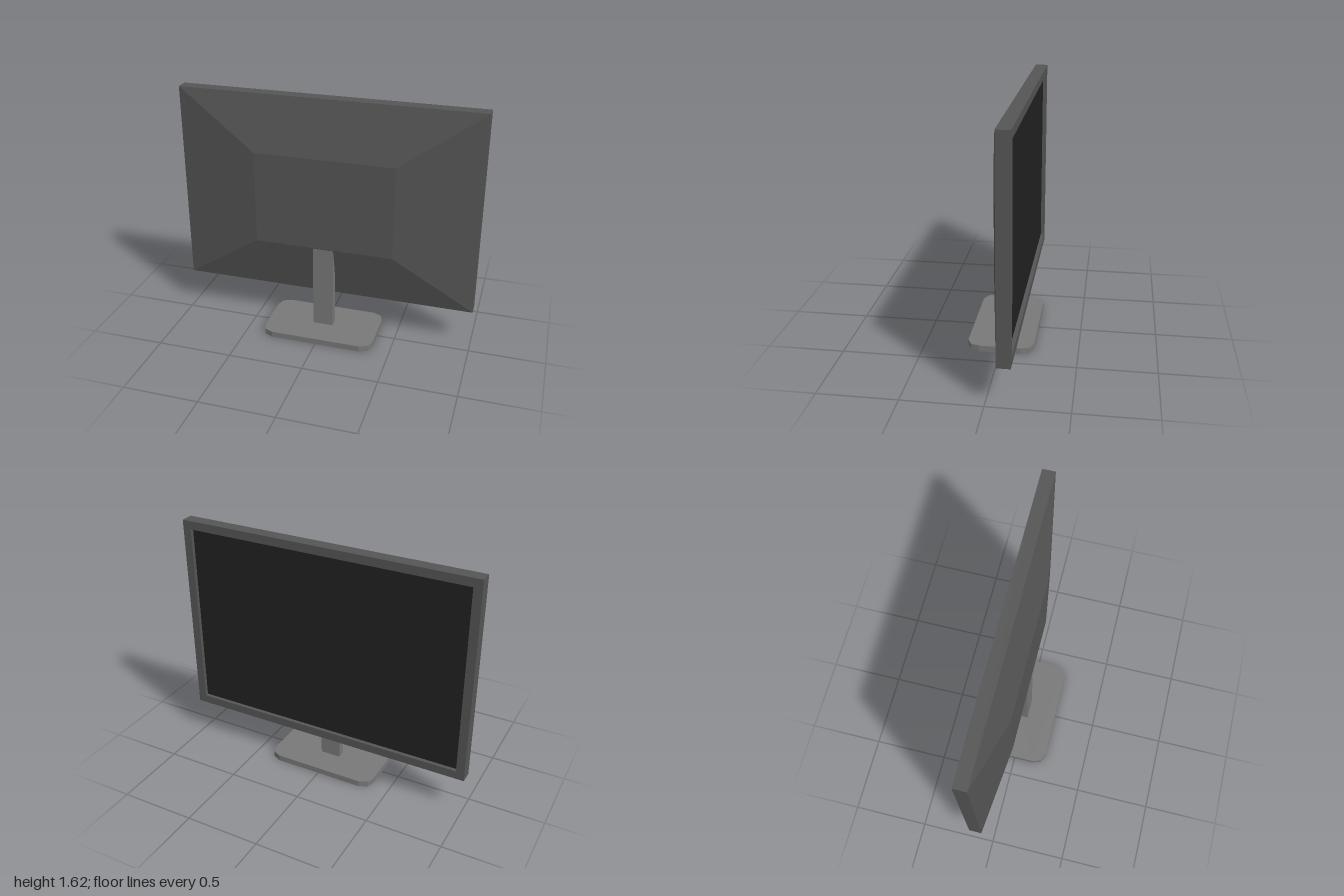
import * as THREE from 'three';

const flat = (name, color) => {
  const m = new THREE.MeshStandardMaterial({ color });
  m.name = name;
  return m;
};

// Corners of an upright rectangle, counter-clockwise seen from +z
const ring = (hw, y0, y1, z) => [[-hw, y0, z], [hw, y0, z], [hw, y1, z], [-hw, y1, z]];

// Skin a stack of rectangles with flat faces and close the last one
function skinRings(rings) {
  const pos = [];
  const quad = (a, b, c, d) => pos.push(...a, ...b, ...c, ...a, ...c, ...d);
  for (let r = 0; r < rings.length - 1; r++) {
    for (let i = 0; i < 4; i++) {
      const j = (i + 1) % 4;
      quad(rings[r][i], rings[r][j], rings[r + 1][j], rings[r + 1][i]);
    }
  }
  quad(...rings[rings.length - 1]);
  const geo = new THREE.BufferGeometry();
  geo.setAttribute('position', new THREE.Float32BufferAttribute(pos, 3));
  geo.computeVertexNormals();
  return geo;
}

export function createModel() {
  const model = new THREE.Group();
  model.name = 'monitor';
  const casingGrey = flat('casing grey', 0x555555);
  const standGrey = flat('stand grey', 0x787878);
  const screenBlack = flat('screen black', 0x222222);

  const add = (name, geo, mat, x = 0, y = 0, z = 0) => {
    const mesh = new THREE.Mesh(geo, mat);
    mesh.name = name;
    mesh.position.set(x, y, z);
    model.add(mesh);
    return mesh;
  };

  // Casing: screen recess, bezel, straight rim, then the tapered rear shell
  const bottom = 0.255, top = 1.62, bezel = 0.056, screenZ = -0.13;
  add('casing', skinRings([
    ring(1 - bezel, bottom + bezel, top - bezel, screenZ),
    ring(1 - bezel, bottom + bezel, top - bezel, -0.155),
    ring(1, bottom, top, -0.155),
    ring(1, bottom, top, -0.07),
    ring(0.465, 0.62, 1.25, 0.02),
  ]), casingGrey);

  // Screen, set back inside the bezel
  const screen = add('screen',
    new THREE.PlaneGeometry(2 - 2 * bezel, top - bottom - 2 * bezel),
    screenBlack, 0, (top + bottom) / 2, screenZ);
  screen.rotation.y = Math.PI;

  // Upright post, just proud of the rear plate
  add('standPost', new THREE.BoxGeometry(0.138, 0.585, 0.056), standGrey, 0, 0.3225, -0.007);

  // Foot plate with faceted corners, mirrored from one quarter
  const quarter = [[0.38, 0.135], [0.362, 0.19], [0.305, 0.216]];
  const flipped = [...quarter].reverse();
  const outline = [
    ...quarter,
    ...flipped.map(([x, z]) => [-x, z]),
    ...quarter.map(([x, z]) => [-x, -z]),
    ...flipped.map(([x, z]) => [x, -z]),
  ].map(([x, z]) => new THREE.Vector2(x, z));
  const foot = new THREE.ExtrudeGeometry(new THREE.Shape(outline), { depth: 0.04, bevelEnabled: false });
  foot.rotateX(-Math.PI / 2);
  add('standFoot', foot, standGrey);

  return model;
}
